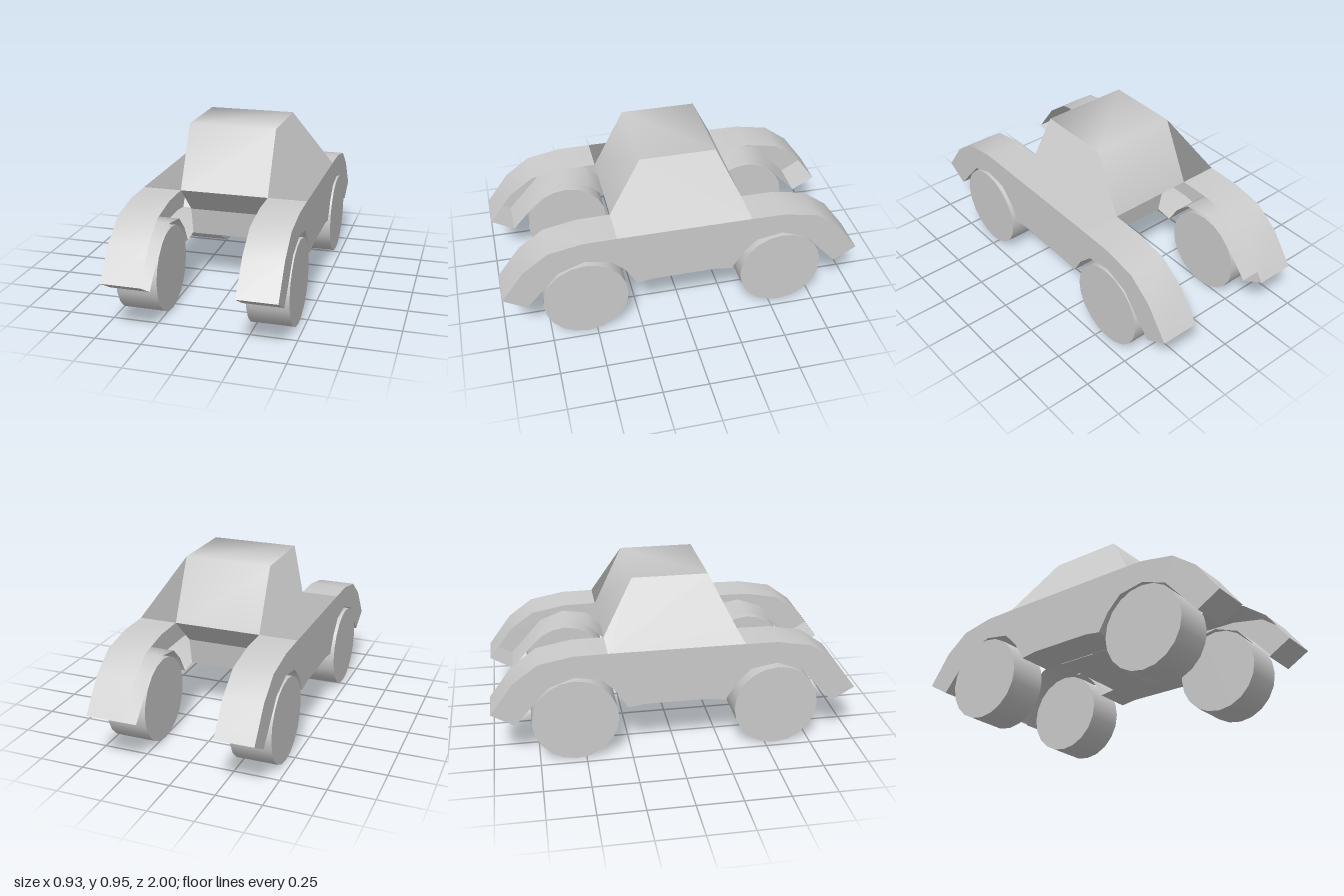
import * as THREE from 'three';
import { toCreasedNormals } from 'three/addons/utils/BufferGeometryUtils.js';

const INNER = 0.243, OUTER = 0.456; // half widths of the body and of the fenders
const BASE_Y = 0.617, ROOF_Y = 0.95, BASE_Z = 0.37;
const ROOF_FRONT = 0.2, ROOF_BACK = -0.212;

export function createModel() {
  const model = new THREE.Group();
  const solid = new THREE.MeshStandardMaterial({ color: 0xcccccc });
  const sheet = new THREE.MeshStandardMaterial({ color: 0xcccccc, side: THREE.DoubleSide });

  const add = (name, geometry, material = sheet) => {
    const mesh = new THREE.Mesh(geometry, material);
    mesh.name = name;
    model.add(mesh);
    return mesh;
  };

  // Close a half profile of [z, y] points by mirroring it front to back
  const mirrored = (half) => [...half, ...half.map(([z, y]) => [-z, y]).reverse()];

  // Open skin that follows a path of [z, y] points, stretched from x0 to x1
  const skin = (points, x0, x1, crease) => {
    const geometry = new THREE.PlaneGeometry(1, 1, 1, points.length - 1);
    const position = geometry.attributes.position;
    points.forEach(([z, y], i) => {
      position.setXYZ(2 * i, x0, y, z);
      position.setXYZ(2 * i + 1, x1, y, z);
    });
    return toCreasedNormals(geometry, crease);
  };

  // Central cabin: rear window, roof and windscreen, softly shaded
  add('cabin', skin(
    [[-BASE_Z, BASE_Y], [ROOF_BACK, ROOF_Y], [ROOF_FRONT, ROOF_Y], [BASE_Z, BASE_Y]],
    -INNER, INNER, 1.2));

  // Lower hull, tapering under the cabin to the floor
  add('hull', skin(
    mirrored([[BASE_Z, BASE_Y], [0.2, 0.455], [0.17, 0.3]]), -INNER, INNER, 0.2));

  // Fender path: upper edge out to the tip, then back along the wheel arch
  const fender = mirrored([
    [BASE_Z, BASE_Y], [0.55, 0.615], [0.738, 0.58], [0.873, 0.48], [1, 0.307],
    [0.873, 0.233], [0.69, 0.44], [0.55, 0.492], [0.406, 0.467], [0.326, 0.388],
    [0.268, 0.29], [0.175, 0.303],
  ]);

  for (const side of [1, -1]) {
    const name = side > 0 ? 'left' : 'right';

    // Fender skin, open towards the body
    const [x0, x1] = side > 0 ? [INNER, OUTER] : [-OUTER, -INNER];
    add(`${name}FenderSkin`, skin(fender, x0, x1, 0.65));

    // Outer side wall
    const outline = fender.map(([z, y]) => new THREE.Vector2(-side * z, y));
    add(`${name}SideWall`, new THREE.ShapeGeometry(new THREE.Shape(outline))
      .rotateY(side * Math.PI / 2).translate(side * OUTER, 0, 0));

    // Cabin side: slopes out to the rear outer corner, leaving a flat ledge at the front
    const corners = [
      [INNER, ROOF_Y, ROOF_FRONT], [INNER, ROOF_Y, ROOF_BACK],
      [OUTER, BASE_Y, BASE_Z], [OUTER, BASE_Y, -BASE_Z],
      [INNER, BASE_Y, BASE_Z], [INNER, BASE_Y, -BASE_Z],
    ];
    const faces = [0, 3, 1, 0, 4, 3, 1, 3, 5, 4, 2, 3];
    if (side < 0) faces.reverse();
    const geometry = new THREE.BufferGeometry();
    geometry.setAttribute('position', new THREE.Float32BufferAttribute(
      corners.flatMap(([x, y, z]) => [x * side, y, z]), 3));
    geometry.setIndex(faces);
    // One shared normal blends the facets together
    const n = new THREE.Vector3(side * (ROOF_Y - BASE_Y), OUTER - INNER, 0).normalize();
    geometry.setAttribute('normal', new THREE.Float32BufferAttribute(
      corners.flatMap(() => n.toArray()), 3));
    add(`${name}CabinSide`, geometry);
  }

  // Wheels
  const wheel = new THREE.CylinderGeometry(0.234, 0.234, 0.226, 20).rotateZ(Math.PI / 2);
  for (const [end, y, z] of [['Front', 0.235, 0.552], ['Rear', 0.241, -0.552]]) {
    for (const [side, x] of [['left', 0.349], ['right', -0.352]]) {
      add(`${side}${end}Wheel`, wheel, solid).position.set(x, y, z);
    }
  }

  return model;
}
